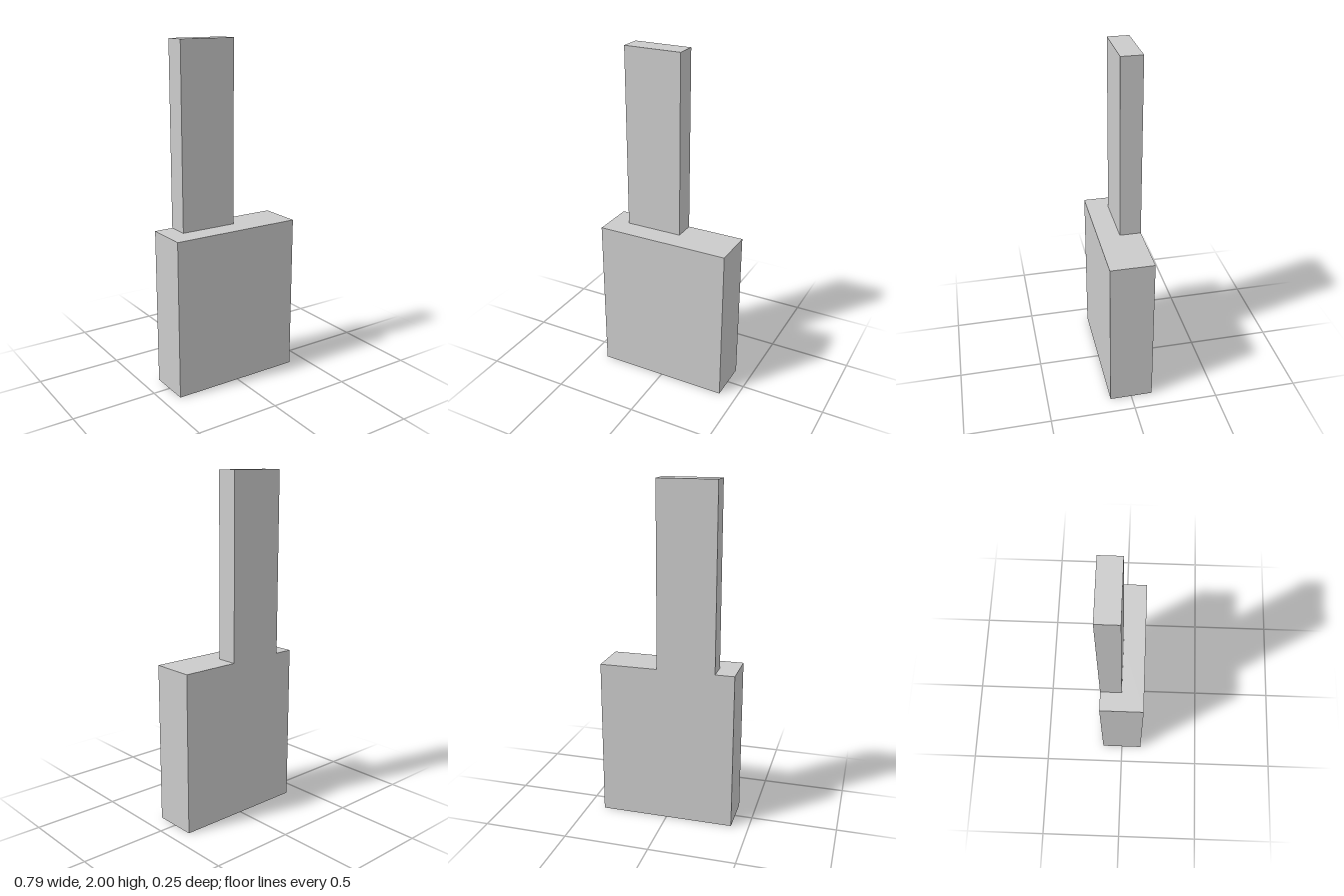
import * as THREE from 'three';

const material = new THREE.MeshStandardMaterial({ color: 0xcccccc, flatShading: true });

// Box given by its minimum and maximum corners
function block(name, [x0, y0, z0], [x1, y1, z1]) {
  const mesh = new THREE.Mesh(new THREE.BoxGeometry(x1 - x0, y1 - y0, z1 - z0), material);
  mesh.position.set((x0 + x1) / 2, (y0 + y1) / 2, (z0 + z1) / 2);
  mesh.name = name;
  return mesh;
}

export function createModel() {
  const group = new THREE.Group();
  group.name = 'steppedBlock';

  const halfWidth = 0.397, halfDepth = 0.127, baseTop = 0.935;

  // Wide lower slab
  group.add(block('base', [-halfWidth, 0, -halfDepth], [halfWidth, baseTop, halfDepth]));

  // Off-centre upright, half as deep and flush with the back
  group.add(block('upright', [-0.285, baseTop, -halfDepth], [0.055, 2, -0.002]));

  return group;
}
